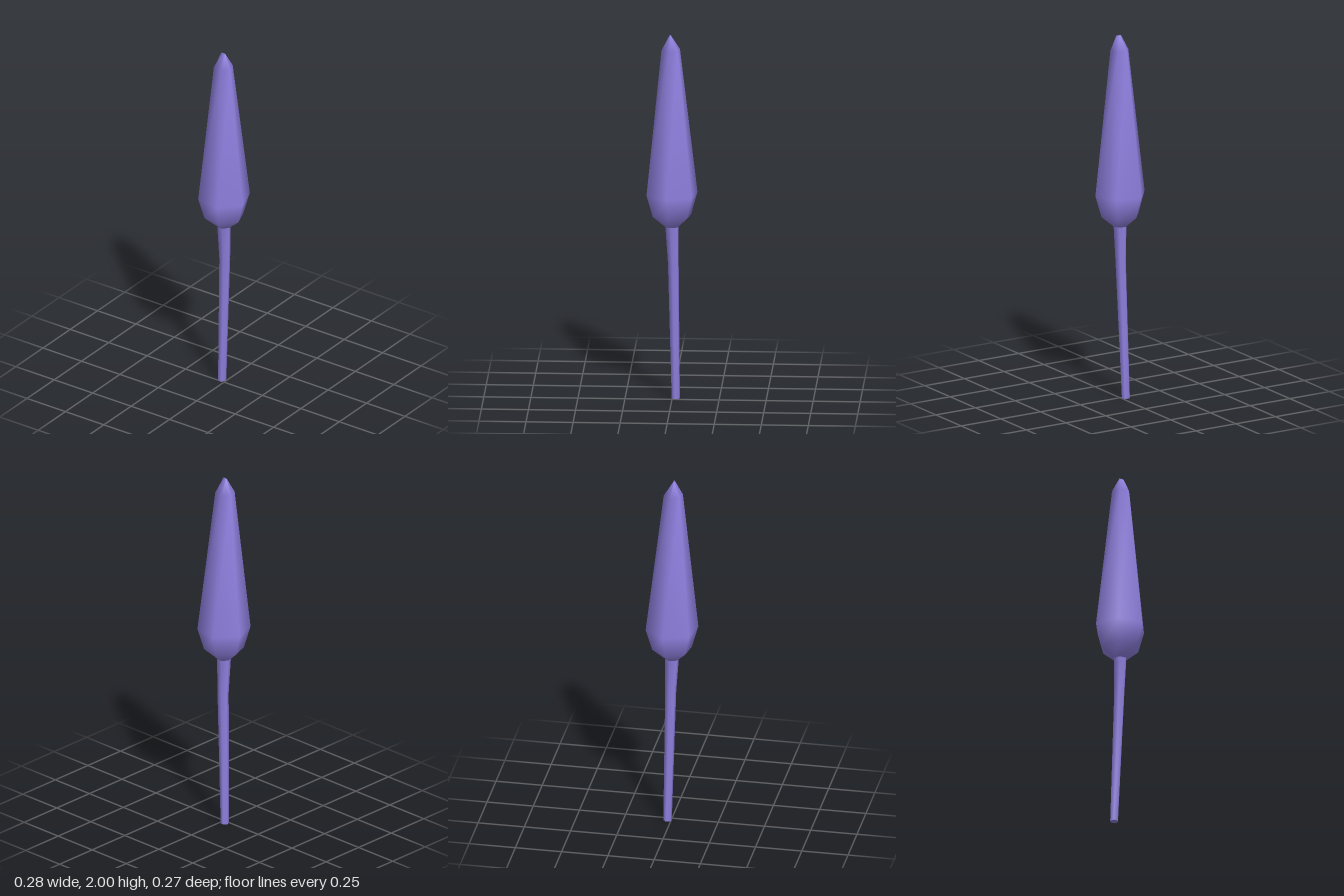
import * as THREE from 'three';

const SIDES = 6;
const TURN = 0.166; // twist of the hexagon about y

// Skins stacked hexagonal rings [y, radiusX, centreX, centreZ, radiusZ = radiusX], bottom to top.
function loft(name, rings, material, capBottom, capTop) {
  const pos = [], index = [];
  for (const [y, rx, cx, cz, rz = rx] of rings) {
    for (let i = 0; i < SIDES; i++) {
      const a = TURN + (i / SIDES) * Math.PI * 2;
      pos.push(cx + rx * Math.cos(a), y, cz + rz * Math.sin(a));
    }
  }
  for (let r = 0; r < rings.length - 1; r++) {
    for (let i = 0; i < SIDES; i++) {
      const a = r * SIDES + i, b = r * SIDES + (i + 1) % SIDES;
      index.push(a, a + SIDES, b, b, a + SIDES, b + SIDES);
    }
  }
  // End caps; the bottom one has its own corners so its edge stays sharp
  if (capBottom) {
    const s = pos.length / 3;
    pos.push(...pos.slice(0, SIDES * 3));
    for (let i = 1; i < SIDES - 1; i++) index.push(s, s + i, s + i + 1);
  }
  if (capTop) {
    const s = (rings.length - 1) * SIDES;
    for (let i = 1; i < SIDES - 1; i++) index.push(s, s + i + 1, s + i);
  }
  const geometry = new THREE.BufferGeometry();
  geometry.setAttribute('position', new THREE.Float32BufferAttribute(pos, 3));
  geometry.setIndex(index);
  geometry.computeVertexNormals();
  const mesh = new THREE.Mesh(geometry, material);
  mesh.name = name;
  return mesh;
}

export function createModel() {
  const group = new THREE.Group();
  group.name = 'flowerBud';
  const purple = new THREE.MeshStandardMaterial({ color: 0x9080e0 });

  // Slender stem, leaning slightly toward its foot
  group.add(loft('stem', [
    [0, 0.023, -0.025, -0.019],
    [0.75, 0.03, 0, -0.007],
    [0.95, 0.037, 0, 0],
  ], purple, true, false));

  // Bud: cup, long taper and a small ridged tip
  group.add(loft('bud', [
    [0.95, 0.037, 0, 0],
    [1.01, 0.107, 0, 0],
    [1.13, 0.142, 0, 0],
    [1.92, 0.052, 0, 0.007],
    [2.0, 0.015, 0.003, 0.01, 0.004],
  ], purple, false, true));

  return group;
}
